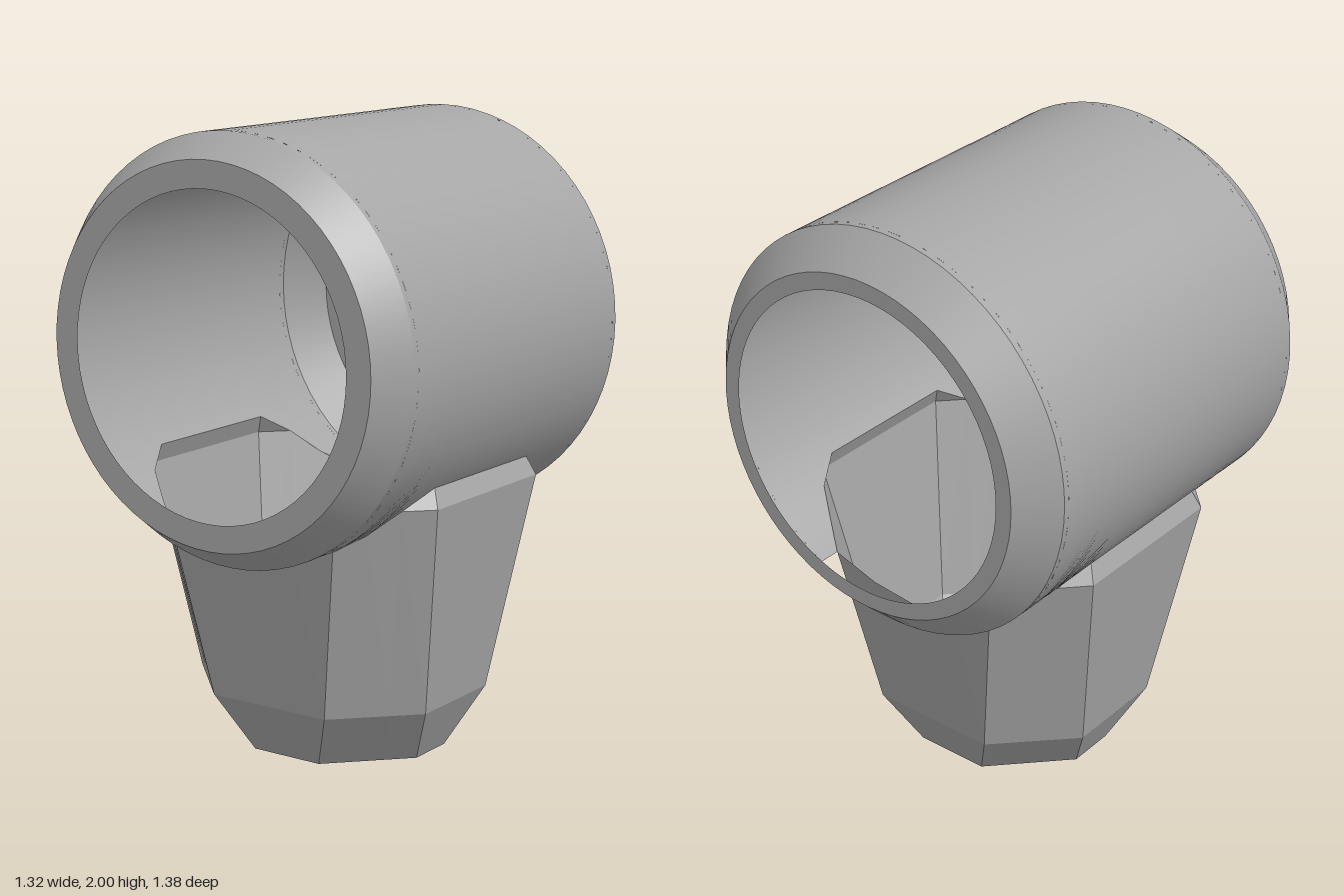
import * as THREE from 'three';

const AXIS_Y = 1.34, R = 0.66;

function makeGeometry(positions, index) {
  const g = new THREE.BufferGeometry();
  g.setAttribute('position', new THREE.Float32BufferAttribute(positions, 3));
  if (index) g.setIndex(index);
  g.computeVertexNormals();
  return g;
}

// Tube wall along z, open underneath where the socket joins; each row is [z, half-width of opening]
function tubeWall() {
  const half = [[0.56, 0.31], [0.488, 0.31], [0.426, 0.39], [0.364, 0.473], [0.265, 0.525]];
  const rows = [...half.map(([z, w]) => [-z, w]), ...half.slice().reverse()];
  const n = 72, pos = [], normals = [], index = [];
  rows.forEach(([z, w], i) => {
    const h = Math.asin(w / R);
    for (let j = 0; j <= n; j++) {
      const a = h + (2 * Math.PI - 2 * h) * j / n;
      pos.push(R * Math.sin(a), AXIS_Y - R * Math.cos(a), z);
      normals.push(Math.sin(a), -Math.cos(a), 0);
      if (i < rows.length - 1 && j < n) {
        const p = i * (n + 1) + j, q = p + n + 1;
        index.push(p, p + 1, q, p + 1, q + 1, q);
      }
    }
  });
  const g = makeGeometry(pos, index);
  g.setAttribute('normal', new THREE.Float32BufferAttribute(normals, 3));
  return g;
}

// One turned band of the tube, between two [radius, z] points
function band(a, b) {
  const g = new THREE.LatheGeometry([new THREE.Vector2(...a), new THREE.Vector2(...b)], 72);
  return g.rotateX(Math.PI / 2).translate(0, AXIS_Y, 0);
}

// Eight-sided tapered socket whose rim follows the tube
function socket() {
  const lerp = (a, b, t) => a.map((v, i) => v + (b[i] - v) * t);
  const bottom = [[0.345, 0, 0.08], [0.125, 0, 0.305]];
  const middle = [[0.44, 0.19, 0.175], [0.215, 0.19, 0.40]];
  const corner = (t, top, lip = top) => [lerp(...bottom, t), lerp(...middle, t), top, lip];
  const front = (x, y, z, t) => [[0.125 * t, 0, 0.305], [0.215 * t, 0.19, 0.40], [x, y, z], [x, y, z]];
  // Columns of one quarter, from the middle of the side to the middle of the front
  const quarter = [
    [[0.345, 0, 0], [0.44, 0.19, 0], [0.55, 0.88, 0], [0.525, 0.94, 0]],
    corner(0, [0.55, 0.88, 0.285], [0.525, 0.94, 0.265]),
    corner(0.35, [0.473, 0.88, 0.364]),
    corner(0.68, [0.39, 0.807, 0.426]),
    corner(1, [0.31, 0.757, 0.488]),
    front(0.16, 0.70, 0.48, 0.5),
    front(0, 0.68, 0.477, 0),
  ];
  const columns = [];
  for (const [sx, sz] of [[1, 1], [-1, 1], [-1, -1], [1, -1]]) {
    const q = quarter.map(col => col.map(([x, y, z]) => [x * sx, y, z * sz]));
    if (sx * sz < 0) q.reverse();
    columns.push(...q.slice(0, -1));
  }
  const pos = [];
  columns.forEach((a, i) => {
    const b = columns[(i + 1) % columns.length];
    for (let k = 0; k < 3; k++) {
      pos.push(...a[k], ...a[k + 1], ...b[k + 1], ...a[k], ...b[k + 1], ...b[k]);
    }
    pos.push(0, 0, 0, ...a[0], ...b[0]);
  });
  return makeGeometry(pos);
}

export function createModel() {
  const model = new THREE.Group();
  const grey = new THREE.MeshStandardMaterial({ color: 0xa6a6a6, side: THREE.DoubleSide });
  grey.name = 'plain grey';
  const add = (name, geometry) => {
    const mesh = new THREE.Mesh(geometry, grey);
    mesh.name = name;
    model.add(mesh);
  };

  add('tubeWall', tubeWall());

  // Chamfered ends with flat mouth rings
  add('frontCollar', band([R, 0.56], [R, 0.58]));
  add('frontChamfer', band([R, 0.58], [0.585, 0.69]));
  add('frontMouth', band([0.585, 0.69], [0.5, 0.69]));
  add('backCollar', band([R, -0.58], [R, -0.56]));
  add('backChamfer', band([0.555, -0.69], [R, -0.58]));
  add('backMouth', band([0.5, -0.69], [0.555, -0.69]));

  add('socket', socket());
  return model;
}
